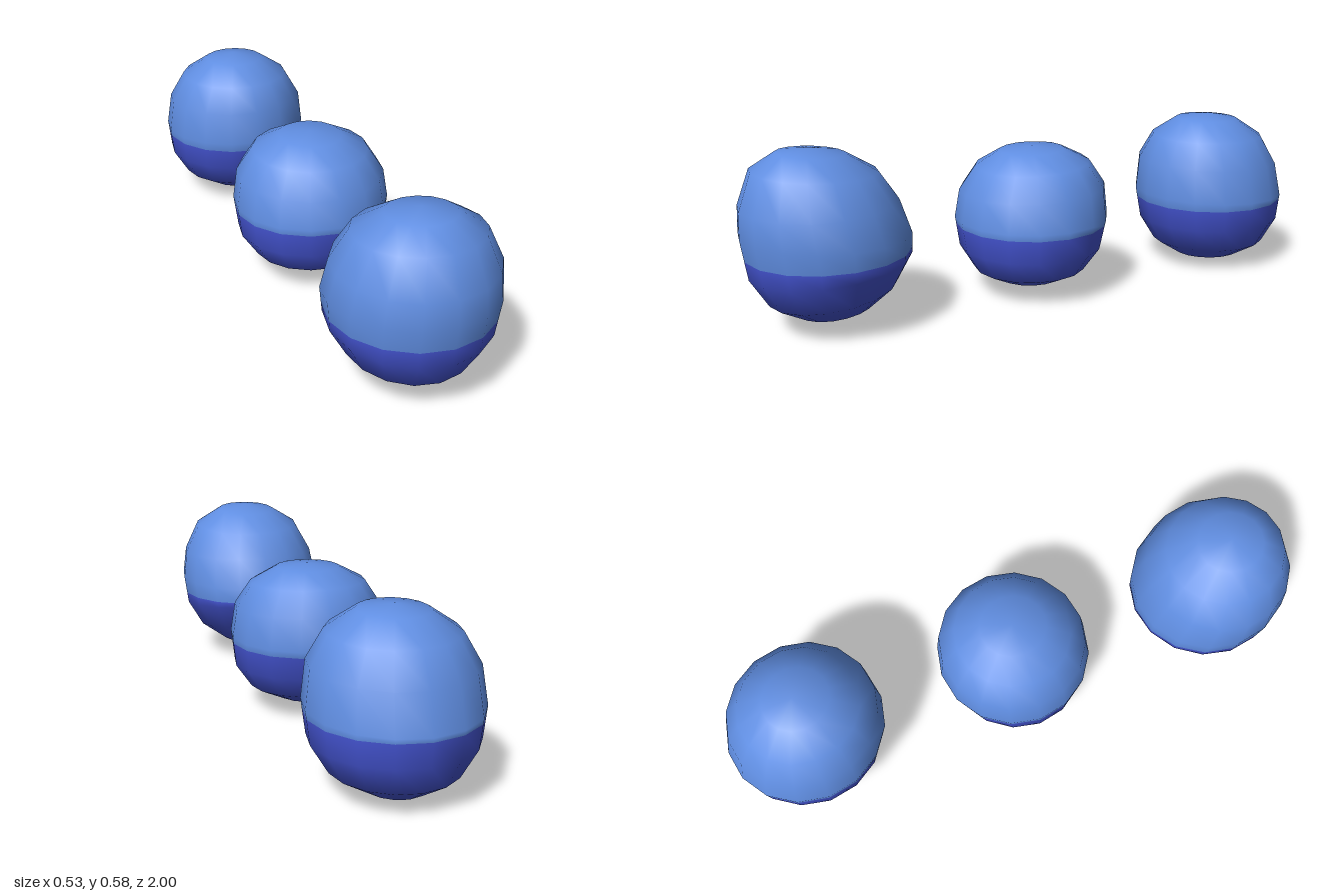
import * as THREE from 'three';

const SIDES = 16;
// Half width of each ring, from the top pole to the bottom pole
const HALF_WIDTH = [0, 0.105, 0.194, 0.247, 0.262, 0.25, 0.196, 0.103, 0];

// Each ball: height of the colour line and, per ring, [front z, front y, back z, back y]
const BALLS = [
  { name: 'frontBall', cut: 0.25, x: 0, rings: [
    [0.77, 0.58, 0.77, 0.58], [0.875, 0.571, 0.66, 0.556], [0.955, 0.52, 0.564, 0.497],
    [0.996, 0.405, 0.505, 0.41], [1, 0.32, 0.467, 0.3], [0.98, 0.19, 0.467, 0.235],
    [0.922, 0.096, 0.516, 0.144], [0.826, 0.043, 0.596, 0.064], [0.703, 0.032, 0.703, 0.032]] },
  { name: 'middleBall', cut: 0.246, x: 0, rings: [
    [0.008, 0.505, 0.008, 0.505], [0.12, 0.492, -0.1, 0.497], [0.2, 0.44, -0.184, 0.455],
    [0.254, 0.36, -0.238, 0.374], [0.27, 0.267, -0.248, 0.267], [0.254, 0.166, -0.222, 0.166],
    [0.205, 0.086, -0.168, 0.09], [0.12, 0.045, -0.094, 0.046], [0.008, 0.026, 0.008, 0.026]] },
  { name: 'backBall', cut: 0.242, x: -0.004, rings: [
    [-0.725, 0.549, -0.725, 0.549], [-0.607, 0.535, -0.826, 0.53], [-0.52, 0.476, -0.917, 0.47],
    [-0.473, 0.39, -0.972, 0.374], [-0.463, 0.275, -1, 0.255], [-0.484, 0.166, -0.99, 0.166],
    [-0.537, 0.08, -0.944, 0.075], [-0.623, 0.027, -0.858, 0.02], [-0.74, 0, -0.74, 0]] },
];

// Closed ball skinned over tilted rings, split into two material groups at the cut height
function ballGeometry({ cut, x, rings }) {
  const loops = rings.map(([zf, yf, zb, yb], i) =>
    Array.from({ length: SIDES }, (_, j) => {
      const a = (j / SIDES) * Math.PI * 2, t = (1 - Math.cos(a)) / 2;
      return new THREE.Vector3(x + HALF_WIDTH[i] * Math.sin(a),
        THREE.MathUtils.lerp(yf, yb, t), THREE.MathUtils.lerp(zf, zb, t));
    }));
  // Level ring where the colours meet
  const seam = loops[4].map((p, j) => {
    const q = loops[5][j];
    return p.clone().lerp(q, (p.y - cut) / (p.y - q.y));
  });
  loops.splice(5, 0, seam);

  const last = loops.length - 1;
  const id = (i, j) => i * SIDES + (i === 0 || i === last ? 0 : j % SIDES);
  const index = [];
  let split = 0;
  for (let i = 0; i < last; i++) {
    if (i === 5) split = index.length;
    for (let j = 0; j < SIDES; j++) {
      const a = id(i, j), b = id(i, j + 1), c = id(i + 1, j), d = id(i + 1, j + 1);
      if (c !== d) index.push(a, c, d);
      if (a !== b) index.push(a, d, b);
    }
  }
  const geometry = new THREE.BufferGeometry().setFromPoints(loops.flat());
  geometry.setIndex(index);
  geometry.addGroup(0, split, 0);
  geometry.addGroup(split, index.length - split, 1);
  geometry.computeVertexNormals();
  return geometry;
}

export function createModel() {
  const upper = new THREE.MeshStandardMaterial({ color: 0x608ee2 });
  upper.name = 'lightBlue';
  const lower = new THREE.MeshStandardMaterial({ color: 0x4757d8 });
  lower.name = 'deepBlue';

  const model = new THREE.Group();
  model.name = 'threeBalls';
  for (const ball of BALLS) {
    const mesh = new THREE.Mesh(ballGeometry(ball), [upper, lower]);
    mesh.name = ball.name;
    model.add(mesh);
  }
  return model;
}
